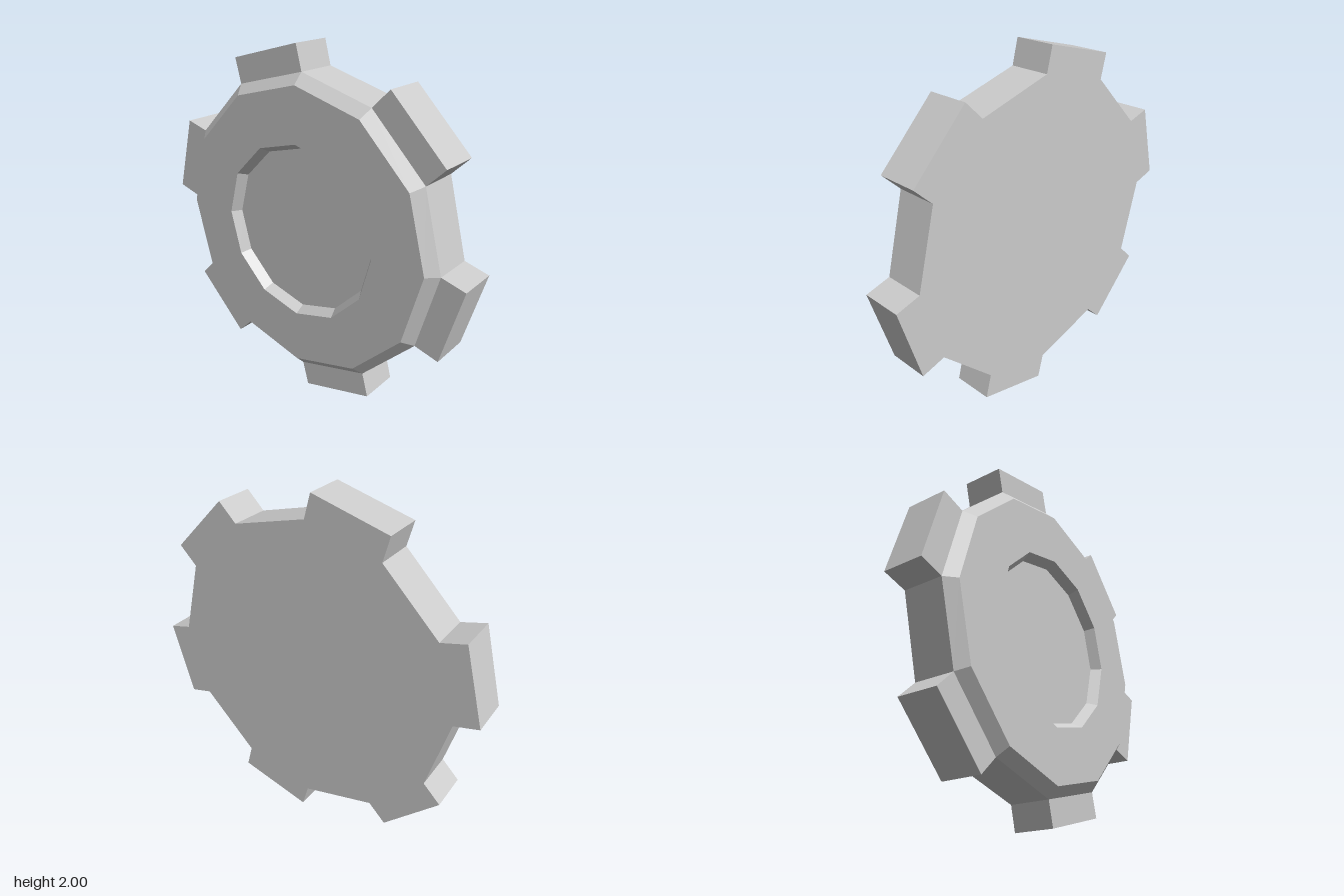
import * as THREE from 'three';

const SIDES = 12;          // body is a regular 12-gon, every other side carries a tooth
const BODY_R = 0.863;
const TOOTH_H = 0.142;
const X_FACE = 0.145;      // flat side
const X_STEP = -0.088;     // plane where the bevelled ring starts
const X_RIM = -0.145;      // raised ring side

export function createModel() {
  const group = new THREE.Group();
  group.name = 'gearWheel';
  const material = new THREE.MeshStandardMaterial({ color: 0xcccccc, flatShading: true });

  // Toothed plate: clockwise outline starting at the top, tooth as wide as a body side
  const corner = (i) => {
    const a = (i * 2 * Math.PI) / SIDES;
    return new THREE.Vector2(Math.sin(a), Math.cos(a)).multiplyScalar(BODY_R);
  };
  const outline = [];
  for (let i = 0; i < SIDES; i += 2) {
    const a = ((i + 0.5) * 2 * Math.PI) / SIDES;
    const out = new THREE.Vector2(Math.sin(a), Math.cos(a)).multiplyScalar(TOOTH_H);
    const p = corner(i);
    const q = corner(i + 1);
    outline.push(p, p.clone().add(out), q.clone().add(out), q);
  }
  const plateGeo = new THREE.ExtrudeGeometry(new THREE.Shape(outline), {
    depth: X_FACE - X_STEP,
    bevelEnabled: false,
  });
  plateGeo.rotateY(Math.PI / 2);
  plateGeo.translate(X_STEP, 0, 0);
  const plate = new THREE.Mesh(plateGeo, material);
  plate.name = 'toothedPlate';

  // Raised ring with a bevelled outer edge and a sloped recess in the middle
  const ringGeo = new THREE.LatheGeometry([
    new THREE.Vector2(0.467, X_STEP),
    new THREE.Vector2(0.5, X_RIM),
    new THREE.Vector2(0.805, X_RIM),
    new THREE.Vector2(BODY_R, X_STEP),
  ], SIDES);
  ringGeo.rotateZ(-Math.PI / 2);
  const ring = new THREE.Mesh(ringGeo, material);
  ring.name = 'bevelledRing';

  for (const part of [plate, ring]) {
    part.position.y = 1;
    group.add(part);
  }
  return group;
}
